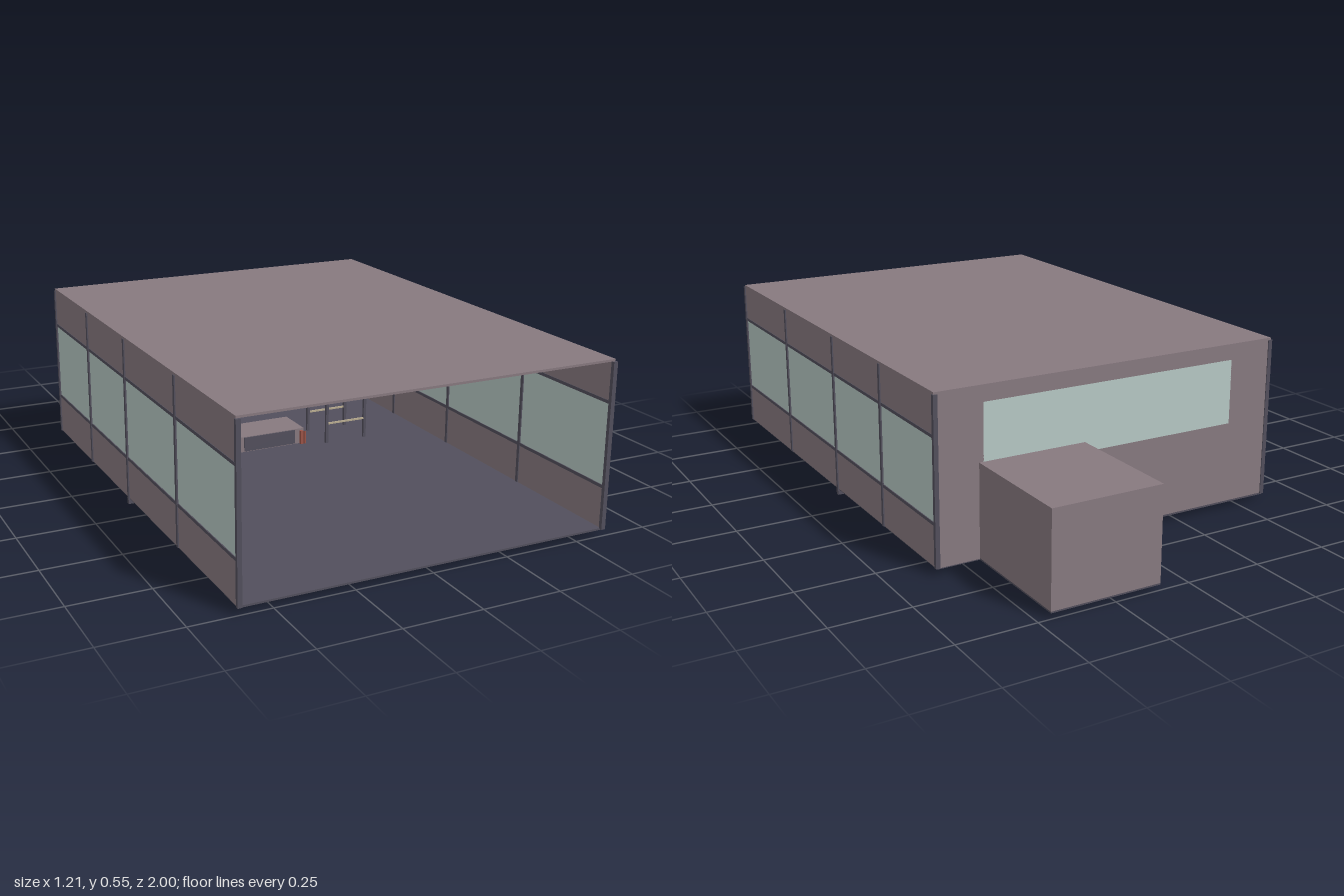
import * as THREE from 'three';
import { RoundedBoxGeometry } from 'three/addons/geometries/RoundedBoxGeometry.js';

const mat = (name, color) => Object.assign(new THREE.MeshStandardMaterial({ color }), { name });

export function createModel() {
  const wall = mat('mauve wall', 0x87797f);
  const trim = mat('slate trim', 0x524f5c);
  const glass = mat('pale glass', 0xb6c8c4);
  const navy = mat('navy recess', 0x24233a);
  const slat = mat('beige slat', 0xb8ab90);
  const gold = mat('ochre wood', 0xc4a062);
  const rust = mat('rust red', 0x9c5448);

  const model = new THREE.Group();
  const group = (name, parent = model) => {
    const g = new THREE.Group();
    g.name = name;
    parent.add(g);
    return g;
  };
  const add = (parent, name, geo, material, x = 0, y = 0, z = 0) => {
    const m = new THREE.Mesh(geo, material);
    m.name = name;
    m.position.set(x, y, z);
    parent.add(m);
    return m;
  };
  // Box given by its low and high limits on each axis
  const box = (parent, name, material, [x0, x1], [y0, y1], [z0, z1]) =>
    add(parent, name, new THREE.BoxGeometry(x1 - x0, y1 - y0, z1 - z0), material,
      (x0 + x1) / 2, (y0 + y1) / 2, (z0 + z1) / 2);
  const rect = (path, x0, x1, y0, y1) =>
    path.moveTo(x0, y0).lineTo(x1, y0).lineTo(x1, y1).lineTo(x0, y1).closePath();
  const rectPlate = (outer, inner, depth) => {
    const shape = rect(new THREE.Shape(), ...outer);
    shape.holes.push(rect(new THREE.Path(), ...inner));
    return new THREE.ExtrudeGeometry(shape, { depth, bevelEnabled: false });
  };

  // Shell
  const shell = group('room');
  box(shell, 'floor', trim, [-0.6, 0.6], [0.017, 0.023], [-0.6, 0.992]);
  box(shell, 'roof', wall, [-0.602, 0.602], [0.545, 0.552], [-0.6, 0.992]);
  box(shell, 'floorBeam', trim, [-0.605, 0.605], [0, 0.02], [0.129, 0.143]);

  // Back wall with its long window
  add(shell, 'backWall', rectPlate([-0.6, 0.6, 0.02, 0.548], [-0.445, 0.445, 0.29, 0.5], 0.008), wall, 0, 0, -0.6);
  box(shell, 'backGlass', glass, [-0.446, 0.446], [0.289, 0.501], [-0.6, -0.594]);
  add(shell, 'backWindowFrame', rectPlate([-0.452, 0.452, 0.284, 0.506], [-0.441, 0.441, 0.295, 0.495], 0.01), trim, 0, 0, -0.594);

  // Side walls: panels, window band, rails and posts
  for (const s of [-1, 1]) {
    const side = group(s > 0 ? 'leftWall' : 'rightWall', shell);
    const slab = (name, m, y, z, a, b) => box(side, name, m, s > 0 ? [a, b] : [-b, -a], y, z);
    const length = [-0.6, 0.992];
    slab('lowerPanel', wall, [0.02, 0.155], length, 0.594, 0.601);
    slab('windowBand', glass, [0.155, 0.42], length, 0.595, 0.6);
    slab('upperPanel', wall, [0.42, 0.55], length, 0.594, 0.601);
    for (const y of [0.155, 0.42]) slab('rail', trim, [y - 0.005, y + 0.005], length, 0.592, 0.603);
    for (const z of [0.994, 0.565, 0.137, -0.232, -0.597])
      slab('post', trim, [0.02, 0.545], [z - 0.006, z + 0.006], 0.591, 0.605);
  }

  // Rear annex
  const annex = group('annex');
  box(annex, 'annexBody', wall, [0.1, 0.46], [0.022, 0.32], [-1, -0.6]);
  box(annex, 'annexFloor', trim, [0.1, 0.46], [0.017, 0.022], [-1, -0.6]);

  // Gridded rack on a stand
  const rack = group('rack');
  rack.position.z = -0.2;
  add(rack, 'rackBody', new RoundedBoxGeometry(0.59, 0.195, 0.04, 3, 0.018), trim, -0.223, 0.372, 0);
  for (let i = 0; i < 6; i++) {
    const x = -0.457 + i * 0.0935;
    box(rack, 'recess', navy, [x - 0.041, x + 0.041], [0.298, 0.452], [0.017, 0.023]);
    for (const y of [0.339, 0.383, 0.427])
      box(rack, 'slat', slat, [x - 0.041, x + 0.041], [y - 0.007, y + 0.007], [0.021, 0.032]);
  }
  for (const z of [-0.16, -0.01]) {
    for (const x of [-0.41, -0.153])
      box(rack, 'standLeg', trim, [x - 0.004, x + 0.004], [0.02, 0.3], [z - 0.004, z + 0.004]);
    for (const y of [0.08, 0.152, 0.225])
      box(rack, 'standRung', slat, [-0.407, -0.156], [y - 0.003, y + 0.003], [z - 0.003, z + 0.003]);
  }
  const knob = add(rack, 'knob', new THREE.CylinderGeometry(0.018, 0.018, 0.04, 16), gold, -0.328, 0.277, 0.035);
  knob.rotation.x = Math.PI / 2;
  box(rack, 'woodBlock', gold, [-0.284, -0.188], [0.265, 0.291], [0.02, 0.05]);

  // Stool
  const stool = group('stool');
  stool.position.set(0.283, 0, -0.12);
  add(stool, 'seat', new RoundedBoxGeometry(0.165, 0.016, 0.165, 2, 0.006), rust, 0, 0.248, 0);
  for (const z of [-0.074, 0.074]) {
    for (const x of [-0.076, 0.076])
      box(stool, 'stoolLeg', trim, [x - 0.005, x + 0.005], [0.02, 0.242], [z - 0.005, z + 0.005]);
    box(stool, 'stoolRung', slat, [-0.072, 0.072], [0.091, 0.097], [z - 0.003, z + 0.003]);
  }

  // Low tray with a rust-red rim and handles
  const tray = group('tray');
  box(tray, 'trayBody', wall, [-0.136, 0.132], [0.024, 0.079], [-0.22, -0.08]);
  box(tray, 'trayFace', trim, [-0.1, 0.096], [0.027, 0.077], [-0.081, -0.076]);
  const rim = [[-0.137, 0.07], [-0.137, 0.028], [-0.125, 0.019], [0.121, 0.019], [0.133, 0.028], [0.133, 0.07]]
    .map(([x, y]) => new THREE.Vector3(x, y, -0.073));
  add(tray, 'trayRim', new THREE.TubeGeometry(new THREE.CatmullRomCurve3(rim, false, 'catmullrom', 0.2), 40, 0.004, 6), rust);
  for (const x of [-0.125, 0.121])
    box(tray, 'trayHandle', rust, [x - 0.005, x + 0.005], [0.013, 0.072], [-0.08, -0.07]);

  // Tools hung on the back wall
  const tools = group('wallTools');
  box(tools, 'woodPeg', gold, [0.468, 0.48], [0.33, 0.4], [-0.592, -0.578]);
  const handle = add(tools, 'malletHandle', new THREE.CylinderGeometry(0.008, 0.008, 0.09, 10), gold, 0.473, 0.194, -0.575);
  handle.rotation.z = -0.66;
  const head = add(tools, 'malletHead', new THREE.SphereGeometry(0.02, 16, 10), rust, 0.499, 0.233, -0.57);
  head.scale.y = 0.62;

  return model;
}
